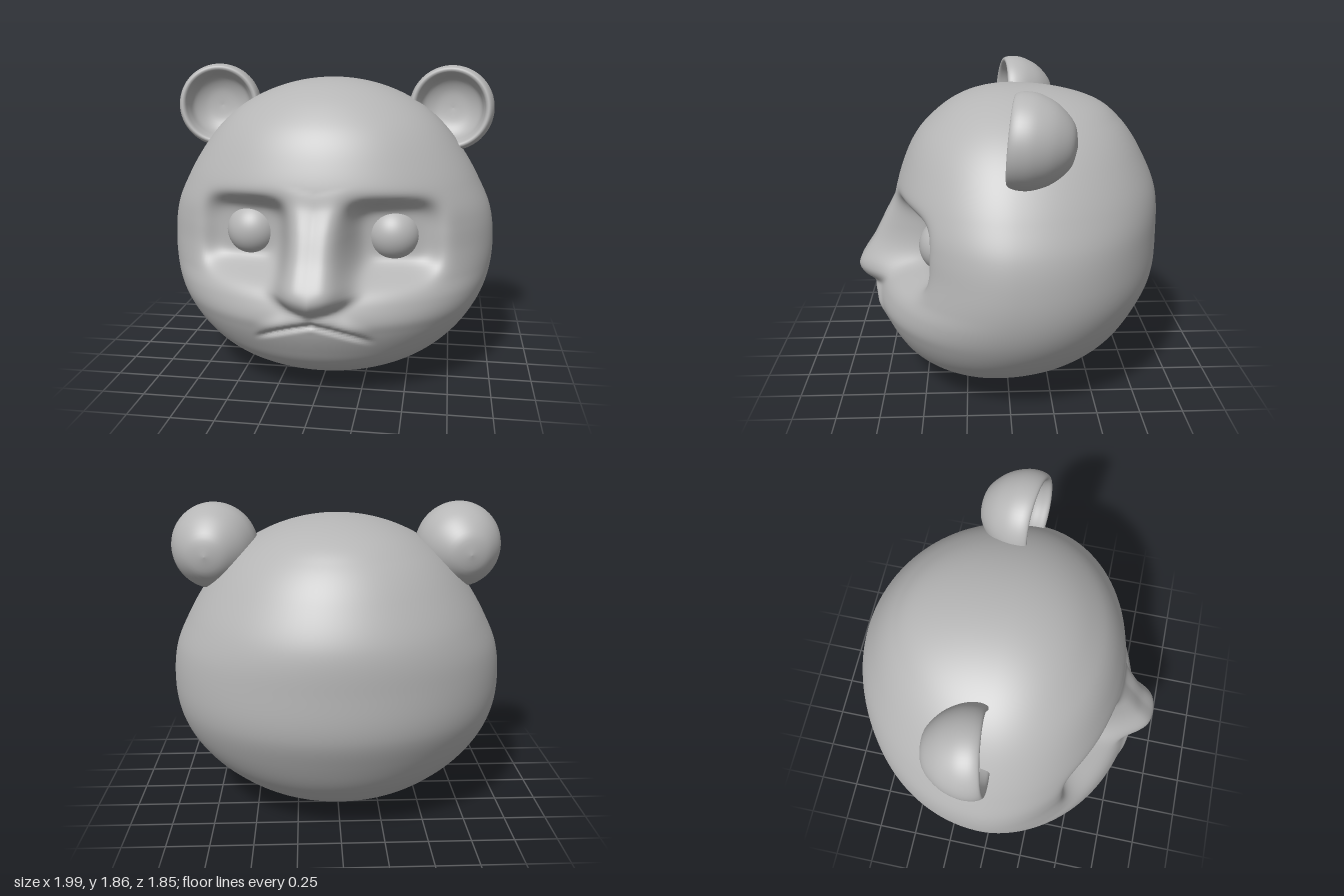
import * as THREE from 'three';

const { smoothstep } = THREE.MathUtils;

// Smooth interpolation through [y, value] pairs
function curve(pts) {
  const n = pts.length - 1;
  const slope = pts.map((_, i) => {
    const a = pts[Math.max(i - 1, 0)], b = pts[Math.min(i + 1, n)];
    return (b[1] - a[1]) / (b[0] - a[0]);
  });
  return (y) => {
    if (y <= pts[0][0]) return pts[0][1];
    if (y >= pts[n][0]) return pts[n][1];
    let i = 0;
    while (y > pts[i + 1][0]) i++;
    const h = pts[i + 1][0] - pts[i][0], t = (y - pts[i][0]) / h, t2 = t * t, t3 = t2 * t;
    return pts[i][1] * (2 * t3 - 3 * t2 + 1) + pts[i + 1][1] * (3 * t2 - 2 * t3)
      + h * (slope[i] * (t3 - 2 * t2 + t) + slope[i + 1] * (t3 - t2));
  };
}

// Head proportions by height, as multiples of a round section
const HALF = 0.892;
const width = curve([[0, 1.08], [0.25, 1.066], [0.4, 1.05], [0.54, 1.035], [0.82, 1], [1.03, 0.98],
  [1.2, 0.95], [1.4, 0.935], [1.64, 0.95], [1.784, 0.95]]);
const back = curve([[0, 1.05], [0.12, 1.1], [0.26, 1.015], [0.46, 0.93], [0.68, 0.917], [0.94, 0.9],
  [1.18, 0.93], [1.41, 0.957], [1.59, 1.04], [1.71, 1.17], [1.784, 1.2]]);
const front = curve([[0, 0.86], [0.07, 0.88], [0.18, 0.92], [0.31, 0.9], [0.43, 0.894], [0.5, 0.885],
  [0.6, 0.825], [0.7, 0.745], [0.84, 0.69], [0.97, 0.69], [1.1, 0.715], [1.2, 0.73], [1.35, 0.745],
  [1.52, 0.775], [1.64, 0.79], [1.784, 0.85]]);
const middle = curve([[0, 0.1], [0.25, 0.05], [0.5, 0], [0.9, -0.02], [1.784, -0.03]]);
const ridge = curve([[0.45, 0], [0.5, 0.01], [0.55, 0.03], [0.6, 0.12], [0.66, 0.19], [0.72, 0.2],
  [0.84, 0.155], [0.97, 0.09], [1.1, 0.015], [1.2, 0]]);

// Sculpts eye sockets, nose and mouth into the front of the head
function sculpt(x, y, z) {
  const ax = Math.abs(x);
  // eye sockets: press the surface towards a shallow plane
  const g = Math.exp(-(((ax - 0.43) / 0.24) ** 4) - ((y - 0.93) / 0.19) ** 4);
  const target = 0.44 - 0.15 * (ax - 0.41);
  z -= (1 - (1 - g) ** 2) * Math.max(0, z - target);
  // nose and bridge
  const w = 0.13 + 0.07 * smoothstep(y, 0.55, 0.67) - 0.03 * smoothstep(y, 0.75, 0.95);
  z += ridge(y - 0.2 * ax) * Math.exp(-((ax / w) ** 4));
  // mouth crease with a soft upper lip, and the groove under the nose
  const d = y - (0.49 - 0.095 * (ax / 0.3) ** 1.3);
  const fade = 1 - smoothstep(ax, 0.2, 0.36);
  z -= 0.035 * fade * Math.exp(-((d / 0.018) ** 2));
  z += 0.018 * fade * Math.exp(-(((d - 0.05) / 0.04) ** 2));
  z -= 0.02 * Math.exp(-((ax / 0.025) ** 2) - ((y - 0.54) / 0.04) ** 2);
  return z;
}

function headGeometry(cols = 200, rows = 180) {
  const pos = [], index = [];
  for (let j = 0; j <= rows; j++) {
    const phi = (Math.PI * j) / rows;
    const y = HALF * (1 - Math.cos(phi)), r = Math.sin(phi);
    for (let i = 0; i < cols; i++) {
      // columns are closer together at the face
      const t = (2 * i) / cols - 1, a = Math.PI * (0.5 * t + 0.5 * t ** 3);
      const x = Math.sin(a) * r * width(y), c = Math.cos(a);
      let z = middle(y) + c * r * (c > 0 ? front(y) : back(y));
      if (c > 0) z = sculpt(x, y, z);
      pos.push(x, y, z);
      if (j < rows) {
        const k = (i + 1) % cols, p = j * cols, q = p + cols;
        index.push(p + i, p + k, q + k, p + i, q + k, q + i);
      }
    }
  }
  const geo = new THREE.BufferGeometry();
  geo.setAttribute('position', new THREE.Float32BufferAttribute(pos, 3));
  geo.setIndex(index);
  geo.computeVertexNormals();
  return geo;
}

// Cupped ear: domed back, rounded rim, hollow front facing +z
function earGeometry() {
  const profile = new THREE.SplineCurve([
    [0, -0.31], [0.11, -0.285], [0.2, -0.2], [0.247, -0.1], [0.255, -0.02], [0.24, 0.03], [0.215, 0.03],
    [0.197, -0.01], [0.17, -0.07], [0.1, -0.11], [0, -0.12],
  ].map(([r, h]) => new THREE.Vector2(r, h)));
  const points = profile.getPoints(50);
  points.forEach((p) => { p.x = Math.max(0, p.x); });
  return new THREE.LatheGeometry(points, 64).rotateX(Math.PI / 2);
}

export function createModel() {
  const group = new THREE.Group();
  const grey = new THREE.MeshStandardMaterial({ color: 0xb6b6b6 });
  grey.name = 'plain grey';

  const add = (name, geo) => {
    const mesh = new THREE.Mesh(geo, grey);
    mesh.name = name;
    group.add(mesh);
    return mesh;
  };

  add('head', headGeometry());

  const ear = earGeometry();
  const eye = new THREE.SphereGeometry(0.16, 48, 32);
  for (const [side, s] of [['left', 1], ['right', -1]]) {
    const earMesh = add(`${side}Ear`, ear);
    earMesh.position.set(s * 0.715, 1.605, -0.035);
    earMesh.rotation.set(-0.08, -s * 0.13, 0);
    add(`${side}Eye`, eye).position.set(s * 0.412, 0.925, 0.355);
  }
  return group;
}
